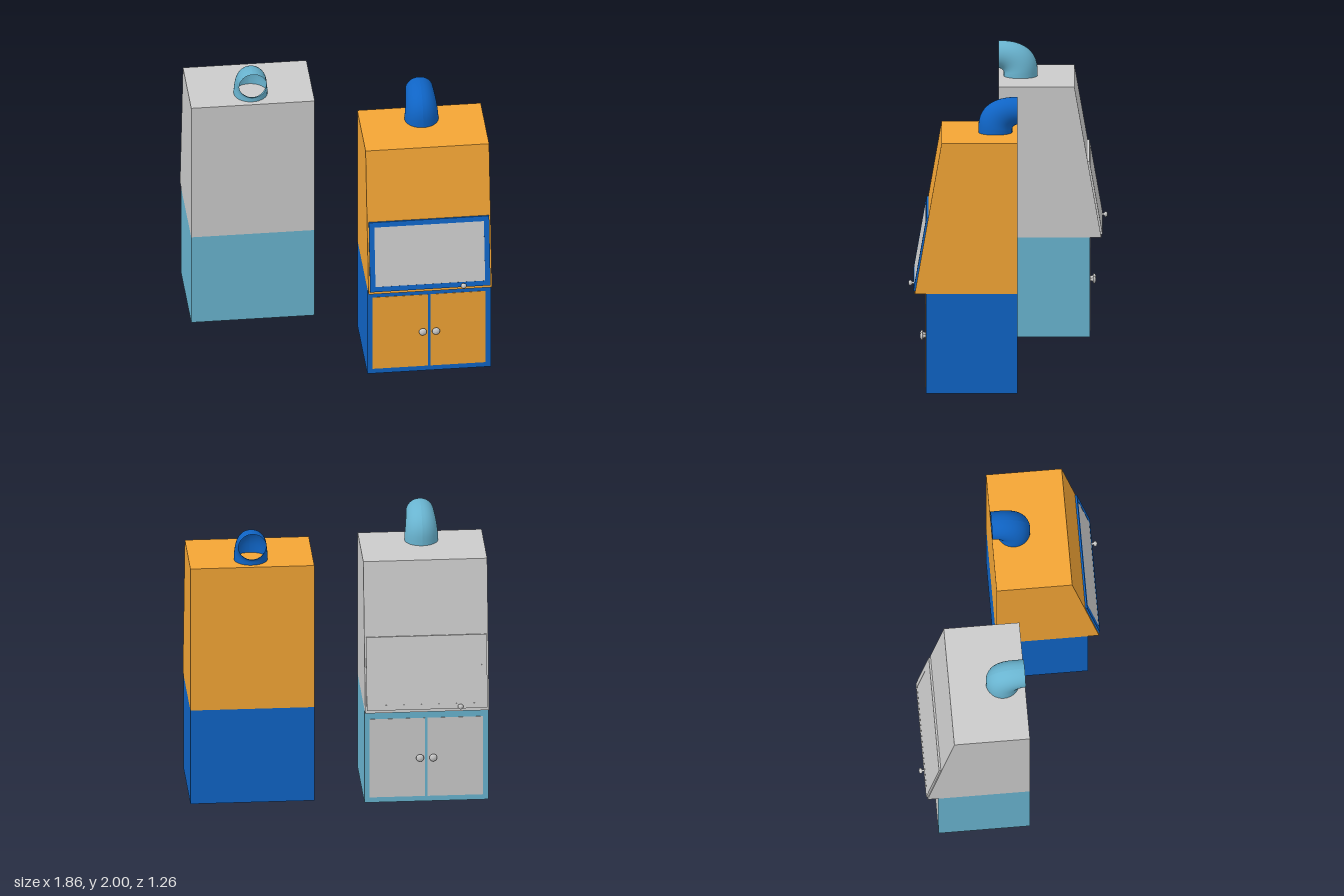
import * as THREE from 'three';

const TILT = Math.atan2(0.17, 0.97);
const HALF = 0.393;

function mat(color, extra = {}) {
  return new THREE.MeshStandardMaterial({ color, ...extra });
}

function add(parent, name, geometry, material, x = 0, y = 0, z = 0) {
  const mesh = new THREE.Mesh(geometry, material);
  mesh.name = name;
  mesh.position.set(x, y, z);
  parent.add(mesh);
  return mesh;
}

// Mushroom knob pointing along +z
function knobGeometry(r, length) {
  const pts = [
    [0.4 * r, 0], [0.4 * r, 0.4 * length], [0.85 * r, 0.45 * length], [r, 0.58 * length],
    [0.92 * r, 0.78 * length], [0.6 * r, 0.94 * length], [0, length],
  ].map(([a, b]) => new THREE.Vector2(a, b));
  return new THREE.LatheGeometry(pts, 20).rotateX(Math.PI / 2);
}

// Open elbow: each ring spans from the outer bend curve to the inner one
function elbowGeometry() {
  const bends = 16, sides = 32, pos = [], idx = [];
  const rings = [{ o: [0.187, 1.6], i: [-0.027, 1.6], w: 0.107 }];
  for (let k = 0; k <= bends; k++) {
    const t = k / bends, a = t * Math.PI / 2;
    const c = Math.pow(Math.max(Math.cos(a), 0), 0.84), s = Math.pow(Math.sin(a), 0.84);
    rings.push({
      o: [-0.06 + 0.247 * c, 1.64 + 0.195 * s],
      i: [-0.06 + 0.033 * Math.cos(a), 1.63 + 0.03 * Math.sin(a)],
      w: 0.107 - 0.019 * t,
    });
  }
  rings.forEach(({ o, i, w }) => {
    for (let j = 0; j <= sides; j++) {
      const b = j / sides * Math.PI * 2, c = Math.cos(b);
      pos.push(w * Math.sin(b),
        (o[1] + i[1]) / 2 + (o[1] - i[1]) / 2 * c,
        (o[0] + i[0]) / 2 + (o[0] - i[0]) / 2 * c);
    }
  });
  const n = sides + 1;
  for (let r = 0; r < rings.length - 1; r++) {
    for (let j = 0; j < sides; j++) {
      const p = r * n + j;
      idx.push(p, p + 1, p + n, p + 1, p + n + 1, p + n);
    }
  }
  const g = new THREE.BufferGeometry();
  g.setAttribute('position', new THREE.Float32BufferAttribute(pos, 3));
  g.setIndex(idx);
  g.computeVertexNormals();
  return g;
}

// Hood body from its side profile, extruded across the width
function hoodGeometry() {
  const shape = new THREE.Shape([[-0.06, 0.64], [0.59, 0.64], [0.42, 1.61], [-0.06, 1.61]]
    .map(([z, y]) => new THREE.Vector2(z, y)));
  return new THREE.ExtrudeGeometry(shape, { depth: 2 * HALF, bevelEnabled: false })
    .rotateY(-Math.PI / 2).translate(HALF, 0, 0);
}

function frameGeometry(w, h, border, depth) {
  const rect = (T, a, b) => new T([[-a, -b], [a, -b], [a, b], [-a, b]]
    .map(([x, y]) => new THREE.Vector2(x, y)));
  const shape = rect(THREE.Shape, w / 2, h / 2);
  shape.holes.push(rect(THREE.Path, w / 2 - border, h / 2 - border));
  return new THREE.ExtrudeGeometry(shape, { depth, bevelEnabled: false });
}

function createFumeHood(name, bodyColor, baseColor, frameColor) {
  const unit = new THREE.Group();
  unit.name = name;
  const body = mat(bodyColor), base = mat(baseColor), grey = mat(0xcccccc);

  // Cabinet with two doors
  add(unit, 'baseCabinet', new THREE.BoxGeometry(2 * HALF, 0.64, 0.58), base, 0, 0.32, 0.23);
  for (const s of [-1, 1]) {
    const side = s < 0 ? 'right' : 'left';
    add(unit, side + 'Door', new THREE.BoxGeometry(0.352, 0.535, 0.01), body, s * 0.184, 0.303, 0.517);
    add(unit, side + 'DoorKnob', knobGeometry(0.025, 0.036), grey, s * 0.042, 0.305, 0.521);
  }

  add(unit, 'hoodBody', hoodGeometry(), body);

  // Sliding sash lying on the sloped face
  const sash = new THREE.Group();
  sash.name = 'sash';
  sash.position.set(0, 0.893, 0.59 - 0.253 * Math.tan(TILT));
  sash.rotation.x = -TILT;
  add(sash, 'sashFrame', frameGeometry(0.766, 0.477, 0.034, 0.012), mat(frameColor));
  add(sash, 'sashPanel', new THREE.BoxGeometry(0.70, 0.411, 0.011), grey, 0, 0, 0.0055);
  unit.add(sash);
  add(unit, 'sashKnob', knobGeometry(0.018, 0.038), grey, 0.21, 0.68, 0.593);

  // Exhaust elbow, open towards the back
  add(unit, 'exhaustElbow', elbowGeometry(), mat(baseColor, { side: THREE.DoubleSide }));
  return unit;
}

export function createModel() {
  const model = new THREE.Group();
  model.name = 'fumeHoods';

  const front = createFumeHood('frontFacingHood', 0xf3a535, 0x0f64c5, 0x0f64c5);
  front.position.x = 0.535;
  model.add(front);

  // Raised unit turned to the back
  const rear = createFumeHood('rearFacingHood', 0xcccccc, 0x69b4d0, 0xcccccc);
  rear.position.set(-0.535, 0.167, 0);
  rear.rotation.y = Math.PI;
  model.add(rear);
  return model;
}
